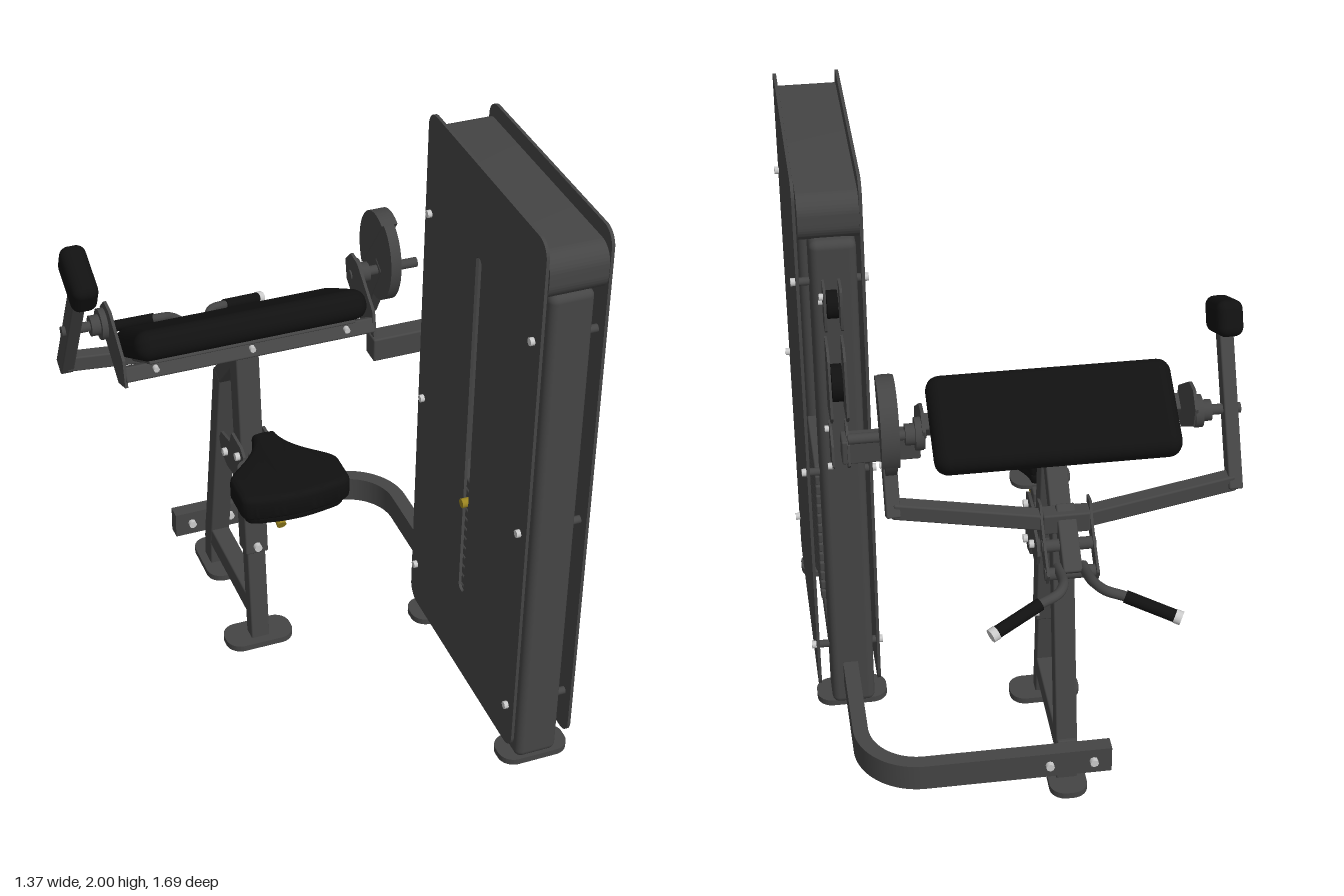
import * as THREE from 'three';
import { RoundedBoxGeometry } from 'three/addons/geometries/RoundedBoxGeometry.js';
import { toCreasedNormals } from 'three/addons/utils/BufferGeometryUtils.js';

export function createModel() {
  const root = new THREE.Group();
  const mat = (color) => new THREE.MeshStandardMaterial({ color });
  const steel = mat(0x454545), black = mat(0x111111), chrome = mat(0xcccccc), yellow = mat(0x9a8420);
  const V = (x, y, z) => new THREE.Vector3(x, y, z);
  const CX = -0.105; // centre line of the seat and arm pad

  function add(name, geo, material, x = 0, y = 0, z = 0, rx = 0) {
    const m = new THREE.Mesh(geo, material);
    m.name = name;
    m.position.set(x, y, z);
    m.rotation.x = rx;
    root.add(m);
    return m;
  }
  const rbox = (name, w, h, d, r, x, y, z, material = steel, rx = 0) =>
    add(name, new RoundedBoxGeometry(w, h, d, 3, r), material, x, y, z, rx);

  // straight square tube between two points
  function beam(name, a, b, w, h, material = steel) {
    const m = rbox(name, w, h, a.distanceTo(b), 0.006, 0, 0, 0, material);
    m.position.copy(a).add(b).multiplyScalar(0.5);
    m.lookAt(b);
    return m;
  }
  // round bar between two points
  function rod(name, a, b, r, material = steel, sides = 16) {
    const m = add(name, new THREE.CylinderGeometry(r, r, a.distanceTo(b), sides), material);
    m.position.copy(a).add(b).multiplyScalar(0.5);
    m.quaternion.setFromUnitVectors(V(0, 1, 0), b.clone().sub(a).normalize());
    return m;
  }
  const boltX = (x, y, z, r = 0.011) => rod('bolt', V(x - 0.009, y, z), V(x + 0.009, y, z), r, chrome, 8);
  const boltZ = (x, y, z, r = 0.012) => rod('bolt', V(x, y, z - 0.009), V(x, y, z + 0.009), r, chrome, 8);

  // plate in the side plane, outline given as [z, y]
  const outline = (pts) => new THREE.Shape(pts.map(([z, y]) => new THREE.Vector2(-z, y)));
  function plate(name, shape, x, t, material = steel) {
    const geo = new THREE.ExtrudeGeometry(shape, { depth: t, bevelEnabled: false, curveSegments: 20 });
    const m = add(name, toCreasedNormals(geo, 0.6), material, x);
    m.rotation.y = Math.PI / 2;
    return m;
  }
  // horizontal slab, outline in x and -z
  function slab(name, shape, y, h, material = steel, bevel = 0) {
    const geo = new THREE.ExtrudeGeometry(shape, {
      depth: h - 2 * bevel, bevelEnabled: bevel > 0, bevelSize: bevel, bevelThickness: bevel,
      bevelOffset: -bevel, bevelSegments: 4, curveSegments: 16 });
    return add(name, toCreasedNormals(geo, 0.7), material, 0, y + bevel, 0, -Math.PI / 2);
  }
  function roundRect(x0, y0, x1, y1, r) {
    const s = new THREE.Shape();
    s.absarc(x1 - r, y0 + r, r, -Math.PI / 2, 0);
    s.absarc(x1 - r, y1 - r, r, 0, Math.PI / 2);
    s.absarc(x0 + r, y1 - r, r, Math.PI / 2, Math.PI);
    s.absarc(x0 + r, y0 + r, r, Math.PI, Math.PI * 1.5);
    s.closePath();
    return s;
  }
  const foot = (x, z, w, d) =>
    slab('foot', roundRect(x - w / 2, -z - d / 2, x + w / 2, -z + d / 2, Math.min(w, d) * 0.42), 0, 0.022, steel);

  // ---- weight tower ----
  plate('outerPanel', roundRect(-0.83, 0.065, 0.02, 2, 0.055), 0.659, 0.01);
  const inner = roundRect(-0.83, 0.065, 0.02, 2, 0.055);
  inner.holes.push(roundRect(-0.41, 0.4, -0.37, 1.7, 0.018));
  plate('innerPanel', inner, 0.456, 0.01);
  for (const z of [0.765, 0.018]) {
    rbox('towerColumn', 0.145, 1.8, 0.13, 0.025, 0.553, 0.915, z);
    foot(0.555, z + 0.01, 0.24, 0.125);
    for (const y of [0.23, 0.94, 1.65]) {
      const bz = z > 0.4 ? 0.785 : 0.022;
      rod('panelSpacer', V(0.462, y, bz), V(0.662, y, bz), 0.013);
      boltX(0.675, y, bz, 0.013);
      boltX(0.451, y, bz, 0.013);
    }
  }
  plate('towerCap', roundRect(-0.835, 1.8, 0.03, 1.955, 0.06), 0.467, 0.188);
  rbox('towerBottomBeam', 0.13, 0.07, 0.7, 0.01, 0.553, 0.1, 0.39);
  for (let i = 0; i < 14; i++) rbox('weightPlate', 0.15, 0.036, 0.32, 0.006, 0.558, 0.28 + i * 0.04, 0.39);
  for (const z of [0.29, 0.49]) rod('guideRod', V(0.558, 0.12, z), V(0.558, 1.82, z), 0.012, chrome);
  rod('selectorPin', V(0.44, 0.77, 0.39), V(0.49, 0.77, 0.39), 0.016, yellow);

  // pulley brackets on the tower's rear
  for (const x of [0.535, 0.585]) {
    plate('upperPulleyBracket', roundRect(0, 1.54, 0.12, 1.69, 0.015), x, 0.008);
    plate('lowerPulleyBracket', outline([[0, 1.23], [-0.16, 1.24], [-0.2, 1.28], [-0.16, 1.46], [-0.12, 1.49], [0, 1.49]]), x, 0.008);
    plate('mountBracket', outline([[0, 1.04], [-0.12, 1.04], [-0.155, 1.07], [-0.145, 1.14], [-0.09, 1.18], [0, 1.18]]), x, 0.008);
  }
  rod('upperPulley', V(0.547, 1.61, -0.06), V(0.581, 1.61, -0.06), 0.045, black, 28);
  rod('lowerPulley', V(0.547, 1.35, -0.1), V(0.581, 1.35, -0.1), 0.06, black, 28);
  for (const [y, z] of [[1.61, -0.04], [1.66, -0.1], [1.15, -0.05], [1.06, -0.13]]) boltX(0.597, y, z);
  beam('towerArm', V(0.31, 1.105, -0.1), V(0.56, 1.105, -0.1), 0.07, 0.085);

  // ---- base ----
  const rail = new THREE.Shape();
  rail.moveTo(0.585, 0);
  rail.lineTo(0.585, 0.4);
  rail.absarc(0.37, 0.4, 0.215, 0, Math.PI / 2, false);
  rail.lineTo(-0.24, 0.615);
  rail.lineTo(-0.24, 0.565);
  rail.lineTo(0.37, 0.565);
  rail.absarc(0.37, 0.4, 0.165, Math.PI / 2, 0, true);
  rail.lineTo(0.535, 0);
  slab('curvedBaseRail', rail, 0.1, 0.095);
  for (const x of [-0.18, -0.035]) { boltZ(x, 0.15, -0.557, 0.014); boltZ(x, 0.15, -0.623, 0.014); }
  beam('legBrace', V(CX, 0.14, -0.08), V(CX, 0.14, -0.54), 0.065, 0.075);
  foot(CX, -0.06, 0.24, 0.125);
  foot(CX, -0.502, 0.125, 0.235);
  rbox('rearLegFoot', 0.07, 0.1, 0.07, 0.006, CX, 0.06, -0.505);
  beam('rearLeg', V(CX, 0.09, -0.51), V(CX, 0.93, -0.365), 0.07, 0.065);
  beam('rearLegTop', V(CX, 0.91, -0.375), V(CX, 1.15, -0.16), 0.068, 0.06);
  beam('frontPost', V(CX, 0.01, -0.055), V(CX, 0.5, -0.107), 0.065, 0.055);
  beam('frontPostSleeve', V(CX, 0.37, -0.094), V(CX, 1.16, -0.175), 0.08, 0.075);
  boltZ(CX, 0.405, -0.05, 0.014);
  boltX(CX + 0.04, 0.405, -0.14);

  // ---- seat ----
  const seat = new THREE.Shape();
  seat.moveTo(-0.04, -0.02);
  seat.bezierCurveTo(-0.05, 0, 0.05, 0, 0.04, -0.02);
  seat.bezierCurveTo(0.06, -0.13, 0.18, -0.17, 0.183, -0.22);
  seat.lineTo(0.183, -0.31);
  seat.bezierCurveTo(0.183, -0.35, 0.14, -0.35, 0.1, -0.357);
  seat.quadraticCurveTo(0, -0.375, -0.1, -0.357);
  seat.bezierCurveTo(-0.14, -0.35, -0.183, -0.35, -0.183, -0.31);
  seat.lineTo(-0.183, -0.22);
  seat.bezierCurveTo(-0.18, -0.17, -0.06, -0.13, -0.04, -0.02);
  slab('seatCushion', seat, 0.85, 0.087, black, 0.02).position.x = CX;
  const base = slab('seatBase', seat, 0.825, 0.04, black, 0.01);
  base.position.x = CX;
  base.scale.set(0.9, 0.96, 1);
  slab('seatTailPlate', roundRect(CX - 0.1, -0.12, CX + 0.1, -0.0, 0.05), 0.815, 0.014);
  rbox('seatSupport', 0.075, 0.035, 0.26, 0.006, CX, 0.805, 0.09);
  beam('seatStrut', V(CX, 0.68, -0.08), V(CX, 0.8, 0.14), 0.055, 0.045);
  const link = outline([[-0.02, 0.82], [-0.05, 0.84], [-0.14, 0.84], [-0.16, 0.79], [-0.25, 0.77], [-0.27, 0.735],
    [-0.25, 0.69], [-0.19, 0.67], [-0.13, 0.68], [-0.11, 0.63], [-0.05, 0.615], [-0.01, 0.66]]);
  for (const s of [-1, 1]) {
    plate('seatLinkPlate', link, CX + s * 0.054 - 0.005, 0.01);
    for (const [y, z] of [[0.8, -0.06], [0.73, -0.19], [0.66, -0.06]]) boltX(CX + s * 0.065, y, z, 0.014);
  }
  rod('linkRoller', V(CX - 0.05, 0.73, -0.2), V(CX + 0.05, 0.73, -0.2), 0.022);
  rod('seatLever', V(CX, 0.745, 0.02), V(CX, 0.715, 0.1), 0.009, chrome);
  rod('seatLeverGrip', V(CX, 0.72, 0.09), V(CX, 0.68, 0.19), 0.016, yellow);

  // ---- arm pad ----
  const tilt = -Math.PI / 6;
  rbox('armPad', 0.785, 0.1, 0.335, 0.045, CX, 1.225, -0.2, black, tilt);
  rbox('padBackingPlate', 0.7, 0.014, 0.24, 0.004, CX, 1.178, -0.173, steel, tilt);
  rbox('padCrossBar', 0.85, 0.05, 0.06, 0.006, CX, 1.178, -0.115, steel, tilt);
  for (const x of [-0.43, CX, 0.22]) boltZ(x, 1.2, -0.083, 0.01);
  const side = outline([[-0.08, 1.15], [-0.1, 1.24], [-0.24, 1.34], [-0.3, 1.345], [-0.345, 1.3], [-0.33, 1.23], [-0.16, 1.12]]);
  const PY = 1.265, PZ = -0.295; // pivot axis
  for (const s of [-1, 1]) {
    const px = CX + s * 0.425;
    plate('padSidePlate', side, px - 0.005, 0.01);
    rod('bearingFlange', V(px, PY, PZ), V(px + s * 0.025, PY, PZ), 0.052, steel, 24);
    rod('bearing', V(px, PY, PZ), V(px + s * 0.055, PY, PZ), 0.034, steel, 24);
  }
  rod('leftAxle', V(0.31, PY, PZ), V(0.55, PY, PZ), 0.017);
  rod('rightAxle', V(-0.53, PY, PZ), V(-0.68, PY, PZ), 0.017);

  // ---- swinging arm ----
  const arms = [[-0.645, 1.5, -0.17, -0.16], [0.43, 1.29, -0.282, -0.05]];
  for (const [x, topY, topZ, cx] of arms) {
    const elbow = V(x, 1.07, -0.405);
    beam('swingArmUpright', V(x, 1.045, -0.418), V(x, topY, topZ), 0.045, 0.06);
    beam('swingArmCross', elbow, V(cx, 1.0, -0.438), 0.05, 0.055);
  }
  rbox('counterPad', 0.085, 0.115, 0.2, 0.03, -0.643, 1.53, -0.175, black, 0.42);
  rbox('swingArmHub', 0.15, 0.07, 0.06, 0.006, CX, 1.0, -0.44);
  beam('handleStem', V(CX, 1.03, -0.41), V(CX, 0.885, -0.575), 0.06, 0.06);
  const hub = outline([[-0.39, 1.05], [-0.44, 1.06], [-0.48, 1.0], [-0.6, 0.9], [-0.58, 0.86], [-0.53, 0.88], [-0.42, 0.97]]);
  for (const s of [-1, 1]) plate('hubPlate', hub, CX + s * 0.078 - 0.004, 0.008);
  for (const [y, z] of [[0.945, -0.5], [0.885, -0.565]])
    rod('hubCrossBar', V(CX - 0.085, y, z), V(CX + 0.085, y, z), 0.02);

  // cam on the pivot
  const cam = new THREE.Shape();
  cam.absellipse(0.302, 1.31, 0.128, 0.16, 0, Math.PI * 2, false, 0.2);
  plate('cam', cam, 0.41, 0.036);
  const rim = new THREE.Shape();
  rim.absellipse(0.305, 1.315, 0.135, 0.158, -0.6, 2.0, false, 0);
  plate('camCover', rim, 0.403, 0.056);
  boltX(0.465, PY, PZ, 0.016);
  boltX(0.45, 1.19, -0.34);

  // ---- handles ----
  for (const s of [-1, 1]) {
    const p = (dx, y, z) => V(CX + s * dx, y, z);
    const end = p(0.282, 0.88, -0.83), grip = p(0.13, 0.925, -0.762);
    const path = new THREE.CatmullRomCurve3([p(0.04, 0.89, -0.54), p(0.04, 0.905, -0.6), p(0.048, 0.932, -0.69),
      p(0.075, 0.935, -0.738), grip, p(0.2, 0.905, -0.793), end]);
    add('handleTube', new THREE.TubeGeometry(path, 40, 0.016, 12), steel);
    rod('handleGrip', grip, end, 0.02, black);
    const dir = end.clone().sub(grip).normalize();
    rod('gripCap', end.clone().addScaledVector(dir, -0.012), end.clone().addScaledVector(dir, 0.01), 0.022, chrome);
  }
  return root;
}
